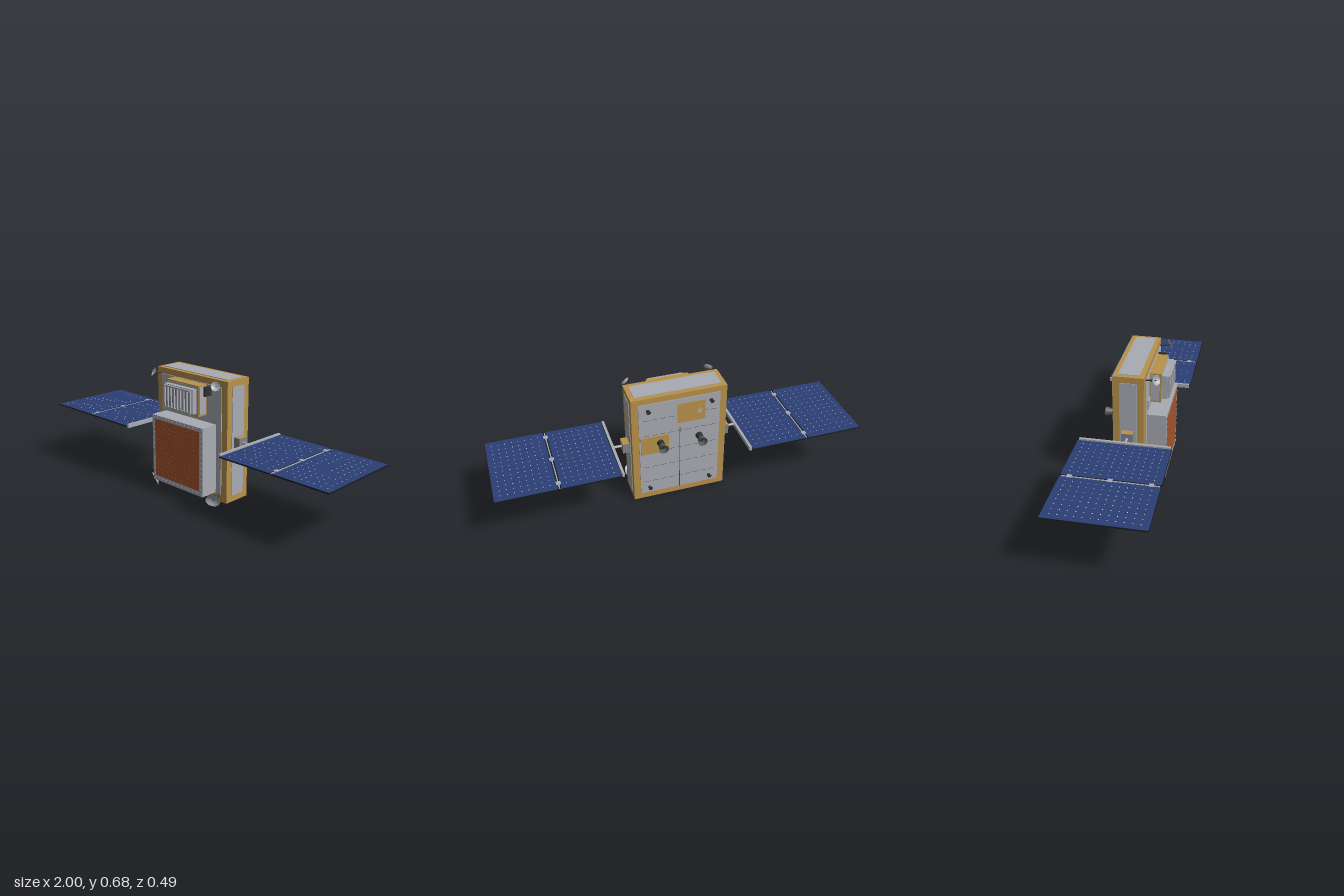
import * as THREE from 'three';
import { mergeGeometries } from 'three/addons/utils/BufferGeometryUtils.js';

const mat = (name, color, side = THREE.FrontSide) => {
  const m = new THREE.MeshStandardMaterial({ color, side });
  m.name = name;
  return m;
};

export function createModel() {
  const root = new THREE.Group();
  root.name = 'satellite';
  const gold = mat('gold foil', 0xb8924a);
  const gray = mat('panel gray', 0xa9acb3, THREE.DoubleSide);
  const midGray = mat('shaded gray', 0x7f838a);
  const dark = mat('dark metal', 0x2c3332, THREE.DoubleSide);
  const nozzleGray = mat('nozzle gray', 0x55585b, THREE.DoubleSide);
  const blue = mat('solar blue', 0x2a3f74);
  const black = mat('panel back', 0x161a1a);
  const copper = mat('copper', 0xa5562d);
  const white = mat('cell gap white', 0xdcdcd4);

  const add = (name, geo, m, parent = root) => {
    const mesh = new THREE.Mesh(geo, m);
    mesh.name = name;
    parent.add(mesh);
    return mesh;
  };
  // box geometry from its lower and upper limits
  const span = (x0, x1, y0, y1, z0, z1) =>
    new THREE.BoxGeometry(x1 - x0, y1 - y0, z1 - z0)
      .translate((x0 + x1) / 2, (y0 + y1) / 2, (z0 + z1) / 2);
  const box = (name, m, ...s) => add(name, span(...s), m);
  const merged = (name, m, list, parent) => add(name, mergeGeometries(list), m, parent);
  // cylinder along z, r0 at z0 and r1 at z1
  const rodZ = (x, y, z0, z1, r0, r1, open = false) =>
    new THREE.CylinderGeometry(r1, r0, Math.abs(z1 - z0), 16, 1, open)
      .rotateX(z1 > z0 ? Math.PI / 2 : -Math.PI / 2).translate(x, y, (z0 + z1) / 2);

  // foil-wrapped body with a thin panel on every side
  box('body', gold, -0.26, 0.26, 0.013, 0.673, -0.08, 0.08);
  box('frontPanel', gray, -0.222, 0.222, 0.05, 0.64, 0.08, 0.085);
  box('backPanel', gray, -0.222, 0.222, 0.05, 0.64, -0.084, -0.08);
  box('topPanel', gray, -0.235, 0.235, 0.673, 0.676, -0.055, 0.055);
  box('bottomPanel', gray, -0.235, 0.235, 0.01, 0.013, -0.055, 0.055);
  for (const s of [-1, 1]) {
    const x = [s * 0.26, s * 0.263].sort((a, b) => a - b);
    box('sidePanel', gray, ...x, 0.047, 0.64, -0.045, 0.045);
  }

  // back seams, foil patches and access plate
  const seams = [span(-0.002, 0.002, 0.05, 0.46, -0.0855, -0.084)];
  for (const y of [0.13, 0.23, 0.33, 0.44, 0.54])
    for (let i = 0; i < 9; i++) {
      const x = -0.2 + i * 0.046;
      seams.push(span(x, x + 0.032, y - 0.001, y + 0.001, -0.085, -0.084));
    }
  merged('backSeams', nozzleGray, seams);
  box('lowerFoilPatch', gold, 0.06, 0.215, 0.32, 0.43, -0.087, -0.08);
  box('upperFoilPatch', gold, -0.14, 0.013, 0.49, 0.61, -0.087, -0.08);
  box('accessPlate', gray, -0.12, -0.095, 0.535, 0.555, -0.089, -0.087);
  box('accessTab', gray, -0.112, -0.104, 0.555, 0.58, -0.089, -0.087);

  // thrusters
  for (const x of [-0.108, 0.108]) {
    add('engineBase', rodZ(x, 0.385, -0.08, -0.115, 0.02, 0.017), dark);
    add('engineNozzle', rodZ(x, 0.385, -0.113, -0.151, 0.016, 0.026, true), nozzleGray);
    add('engineThroat', rodZ(x, 0.385, -0.112, -0.125, 0.014, 0.017), dark);
  }
  for (const x of [-0.172, 0.172]) for (const y of [0.087, 0.6]) {
    add('thrusterBase', rodZ(x, y, -0.08, -0.09, 0.012, 0.007), dark);
    add('thrusterNozzle', rodZ(x, y, -0.088, -0.1, 0.006, 0.012), dark);
  }

  // large front antenna box with bolted rim and copper face
  box('antennaBox', gray, -0.192, 0.187, 0.06, 0.436, 0.08, 0.187);
  box('copperFace', copper, -0.17, 0.165, 0.09, 0.415, 0.187, 0.189);
  const bolts = [], bumps = [];
  for (let i = 0; i <= 12; i++) {
    const x = -0.181 + i * 0.0298, y = 0.07 + i * 0.0295;
    for (const by of [0.075, 0.426]) bolts.push(rodZ(x, by, 0.186, 0.19, 0.004, 0.004));
    for (const bx of [-0.181, 0.176]) bolts.push(rodZ(bx, y, 0.186, 0.19, 0.004, 0.004));
  }
  merged('rimBolts', gray, bolts);
  for (let r = 0; r < 13; r++) for (let c = 0; c < 12; c++) {
    const x = -0.15 + c * 0.027, y = 0.11 + r * 0.024;
    bumps.push(span(x - 0.004, x + 0.004, y - 0.002, y + 0.002, 0.189, 0.1905));
  }
  merged('copperElements', copper, bumps);

  // upper instrument with side panels and radiator fins
  box('instrumentBase', gold, -0.12, 0.117, 0.474, 0.638, 0.08, 0.145);
  box('instrumentSides', gray, -0.123, 0.12, 0.484, 0.63, 0.09, 0.135);
  box('instrumentFront', gray, -0.115, 0.112, 0.48, 0.632, 0.145, 0.147);
  box('radiatorHousing', gray, -0.108, 0.105, 0.491, 0.621, 0.145, 0.175);
  box('radiatorBack', midGray, -0.095, 0.092, 0.5, 0.613, 0.175, 0.177);
  const fins = [span(-0.1, 0.097, 0.494, 0.502, 0.175, 0.187),
    span(-0.1, 0.097, 0.609, 0.617, 0.175, 0.187)];
  for (let i = 0; i < 9; i++) {
    const x = -0.1 + i * 0.0237;
    fins.push(span(x, x + 0.0085, 0.5, 0.611, 0.175, 0.187));
  }
  merged('radiatorFins', gray, fins);
  box('darkSensor', dark, 0.14, 0.151, 0.585, 0.636, 0.085, 0.13);
  box('smallCover', gray, -0.195, -0.147, 0.467, 0.517, 0.085, 0.094);

  // dish antennas at the four front corners
  const dish = (x, y, z, r, dir, baseY) => {
    const g = new THREE.Group();
    g.name = 'dishAntenna';
    const pts = [];
    for (let i = 0; i <= 8; i++) {
      const t = i / 8;
      pts.push(new THREE.Vector2(Math.max(r * t, 0.0001), r * 0.4 * (t * t - 1)));
    }
    add('dish', new THREE.LatheGeometry(pts, 28), gray, g);
    add('feed', new THREE.CylinderGeometry(r * 0.06, r * 0.1, r * 0.4, 8).translate(0, -r * 0.2, 0), dark, g);
    const n = new THREE.Vector3(...dir).normalize();
    g.position.set(x, y, z);
    g.quaternion.setFromUnitVectors(new THREE.Vector3(0, 1, 0), n);
    root.add(g);
    const a = new THREE.Vector3(Math.sign(x) * 0.215, baseY, 0.082);
    const b = new THREE.Vector3(x, y, z).addScaledVector(n, -r * 0.4);
    const path = new THREE.LineCurve3(a, b);
    add('dishMount', new THREE.TubeGeometry(path, 1, r * 0.17, 10), dark);
    const mid = a.clone().lerp(b, 0.65);
    add('dishJoint', new THREE.SphereGeometry(r * 0.27, 12, 8).translate(mid.x, mid.y, mid.z), dark);
  };
  for (const s of [-1, 1]) {
    dish(s * 0.232, 0.657, 0.138, 0.025, [s * 0.5, 0.45, 0.75], 0.645);
    dish(s * 0.226, 0.04, 0.148, 0.04, [s * 0.5, -0.4, 0.8], 0.055);
  }

  // solar wing, built on +x and turned round for the other side
  const wing = () => {
    const g = new THREE.Group();
    g.name = 'solarWing';
    add('driveBlock', span(0.26, 0.3, 0.313, 0.372, -0.03, 0.03),
      [midGray, midGray, gold, gold, midGray, midGray], g);
    add('boom', new THREE.CylinderGeometry(0.007, 0.007, 0.06, 12).rotateZ(Math.PI / 2).translate(0.325, 0.343, 0), gray, g);
    add('yokeBar', span(0.342, 0.356, 0.332, 0.353, -0.235, 0.235), gray, g);
    const dots = [], links = [];
    for (const [x0, x1] of [[0.356, 0.67], [0.682, 1]]) {
      add('panelBack', span(x0, x1, 0.339, 0.344, -0.243, 0.243), black, g);
      add('panelCells', span(x0 + 0.003, x1 - 0.003, 0.344, 0.346, -0.24, 0.24), blue, g);
      for (let i = 1; i < 9; i++) for (let j = 1; j < 13; j++)
        dots.push(new THREE.CircleGeometry(0.0035, 4).rotateX(-Math.PI / 2)
          .translate(x0 + (x1 - x0) * i / 9, 0.3465, -0.24 + 0.48 * j / 13));
    }
    merged('cellGaps', white, dots, g);
    for (const z of [-0.195, 0, 0.195])
      links.push(span(0.664, 0.688, 0.338, 0.348, z - 0.012, z + 0.012));
    links.push(span(0.673, 0.679, 0.34, 0.345, -0.235, 0.235));
    merged('panelHinges', gray, links, g);
    return g;
  };
  const left = wing(), right = wing();
  right.rotation.y = Math.PI;
  root.add(left, right);
  return root;
}
